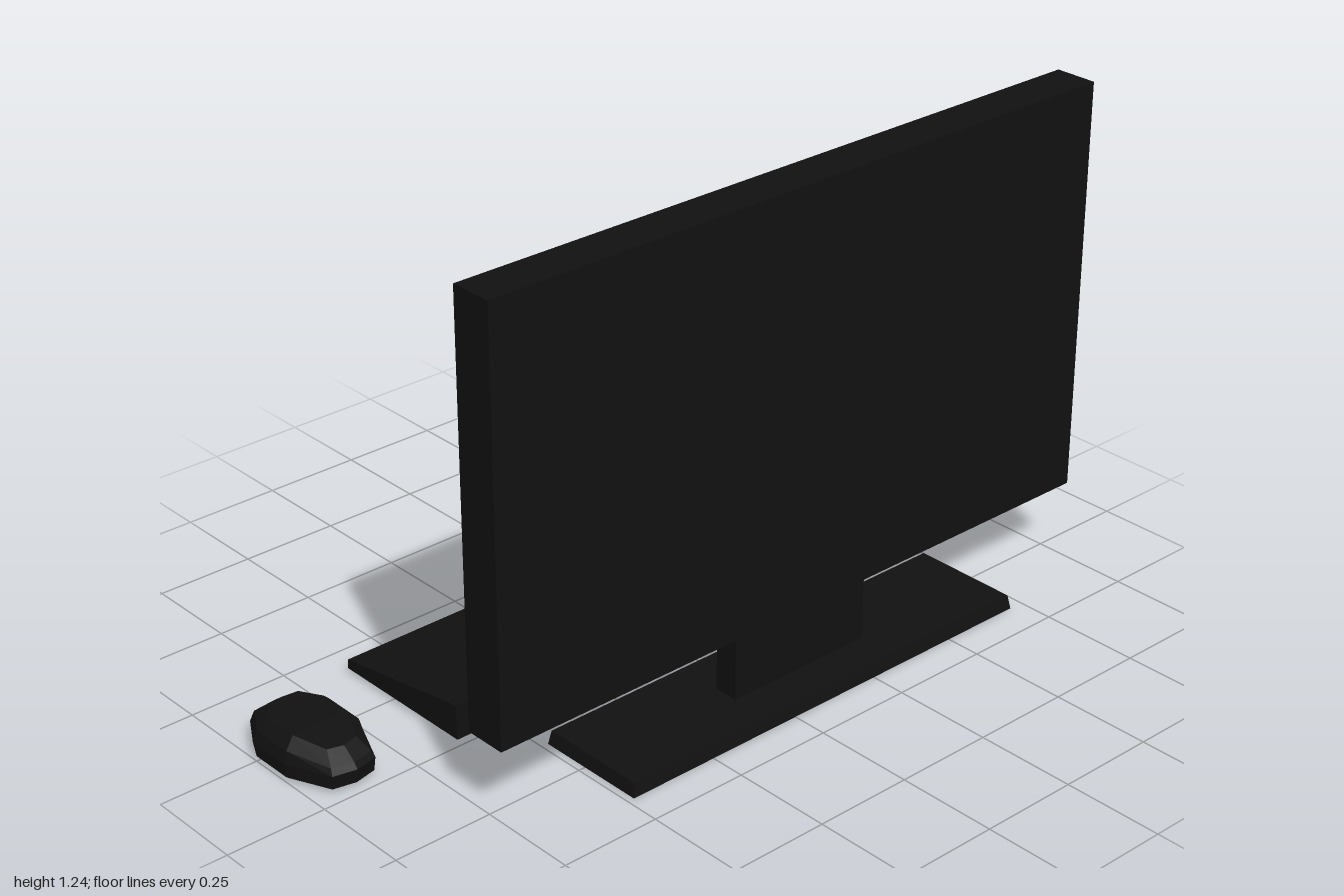
import * as THREE from 'three';

const material = new THREE.MeshStandardMaterial({ color: 0x111111, flatShading: true });

function part(name, geometry) {
  const mesh = new THREE.Mesh(geometry, material);
  mesh.name = name;
  return mesh;
}

// Box given by its minimum and maximum corners
function box(x0, x1, y0, y1, z0, z1) {
  return new THREE.BoxGeometry(x1 - x0, y1 - y0, z1 - z0)
    .translate((x0 + x1) / 2, (y0 + y1) / 2, (z0 + z1) / 2);
}

const points = (list) => list.map(([x, y]) => new THREE.Vector2(x, y));

// Housing plus a raised bezel around the recessed screen, which faces -x
function createMonitor() {
  const group = new THREE.Group();
  group.name = 'monitor';
  const y0 = 0.2, y1 = 1.235, z0 = -1, z1 = 0.77, depth = 0.02, rim = 0.055;
  group.add(part('housing', box(0.215 + depth, 0.322, y0, y1, z0, z1)));

  const frame = new THREE.Shape(points([[z0, y0], [z1, y0], [z1, y1], [z0, y1]]));
  frame.holes.push(new THREE.Path(points([
    [z0 + rim, y0 + 0.075], [z0 + rim, y1 - rim], [z1 - rim, y1 - rim], [z1 - rim, y0 + 0.075],
  ])));
  const bezel = new THREE.ExtrudeGeometry(frame, { depth, bevelEnabled: false });
  bezel.rotateY(-Math.PI / 2).translate(0.215 + depth, 0, 0);
  group.add(part('bezel', bezel));
  return group;
}

// Neck on a slightly tapered foot
function createStand() {
  const group = new THREE.Group();
  group.name = 'stand';
  group.add(part('neck', box(0.248, 0.31, 0.03, 0.21, -0.312, 0.09)));

  const foot = new THREE.BoxGeometry(0.287, 0.035, 1.195);
  const p = foot.attributes.position;
  for (let i = 0; i < p.count; i++) {
    if (p.getY(i) > 0) {
      p.setX(i, p.getX(i) - Math.sign(p.getX(i)) * 0.006);
      p.setZ(i, p.getZ(i) - Math.sign(p.getZ(i)) * 0.006);
    }
  }
  group.add(part('foot', foot.translate(0.268, 0.0175, -0.115)));
  return group;
}

// Wedge profile swept along z
function createKeyboard() {
  const profile = new THREE.Shape(points([
    [-0.415, 0.01], [-0.01, 0.01], [-0.012, 0.098], [-0.412, 0.034],
  ]));
  const geometry = new THREE.ExtrudeGeometry(profile, { depth: 1.49, bevelEnabled: false });
  return part('keyboard', geometry.translate(0, 0, -0.86));
}

// Rounded body lofted through stacked outlines, sloping down toward +x
function createMouse() {
  const half = [[0, 0], [0.02, 0.58], [0.25, 1], [0.62, 1], [0.96, 0.55], [1, 0]];
  const outline = [...half, ...half.slice(1, -1).reverse().map(([u, v]) => [u, -v])];
  // Each ring: y, x start, x end, half width, slope of the tail
  const rings = [
    [0.01, -0.33, -0.025, 0.102, 0],
    [0.045, -0.34, -0.02, 0.105, 0],
    [0.075, -0.328, -0.03, 0.097, 0.14],
    [0.1, -0.295, -0.065, 0.072, 0.17],
  ];
  const n = outline.length, position = [], index = [];
  for (const [y, x0, x1, w, slope] of rings) {
    for (const [u, v] of outline) {
      const x = x0 + u * (x1 - x0);
      position.push(x, y - slope * Math.max(0, x + 0.15), 0.895 + v * w);
    }
  }
  for (let r = 0; r < rings.length - 1; r++) {
    for (let i = 0; i < n; i++) {
      const a = r * n + i, b = r * n + (i + 1) % n;
      index.push(a, b, a + n, b, b + n, a + n);
    }
  }
  // Caps made of strips between the two mirrored halves
  const top = (rings.length - 1) * n;
  for (let i = 0; i < half.length - 1; i++) {
    const a = i, b = i + 1, c = (n - b) % n, d = (n - a) % n;
    index.push(a, c, b, a, d, c);
    index.push(top + a, top + b, top + c, top + a, top + c, top + d);
  }
  const geometry = new THREE.BufferGeometry();
  geometry.setAttribute('position', new THREE.Float32BufferAttribute(position, 3));
  geometry.setIndex(index);
  geometry.computeVertexNormals();
  return part('mouse', geometry);
}

export function createModel() {
  const model = new THREE.Group();
  model.name = 'desktopComputerSet';
  model.add(createMonitor(), createStand(), createKeyboard(), createMouse());
  return model;
}
